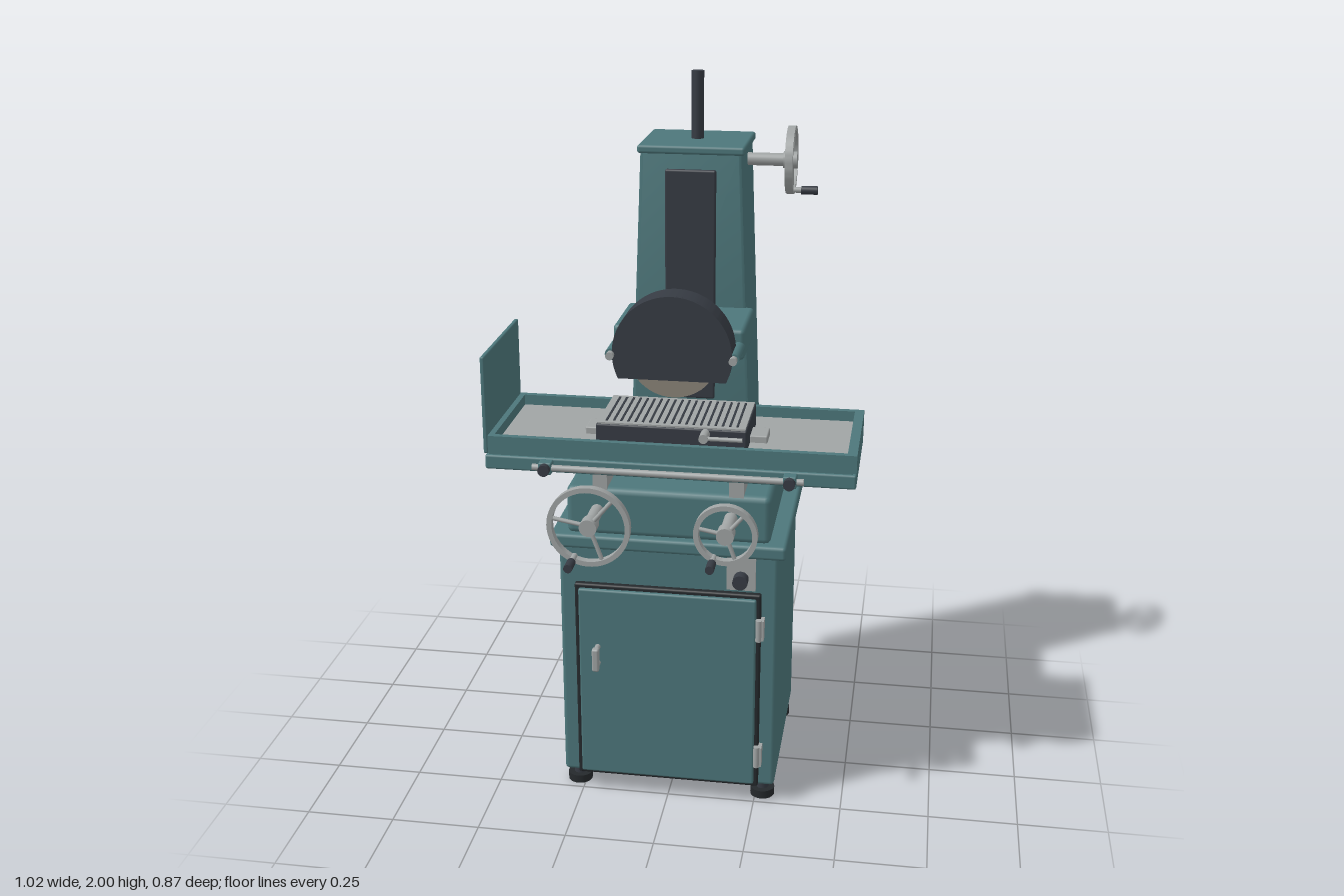
import * as THREE from 'three';
import { toCreasedNormals } from 'three/addons/utils/BufferGeometryUtils.js';
import { RoundedBoxGeometry } from 'three/addons/geometries/RoundedBoxGeometry.js';

const mat = (name, color) => {
  const m = new THREE.MeshStandardMaterial({ color });
  m.name = name;
  return m;
};

export function createModel() {
  const teal = mat('teal paint', 0x4d777b);
  const steel = mat('steel', 0xa0a4a4);
  const dark = mat('dark grey', 0x363b43);
  const black = mat('black rubber', 0x25292c);
  const stone = mat('abrasive', 0x8a8378);

  const model = new THREE.Group();
  model.name = 'surfaceGrinder';

  const add = (name, geo, material, parent = model) => {
    const m = new THREE.Mesh(geo, material);
    m.name = name;
    parent.add(m);
    return m;
  };
  // Box given by its limits on each axis, with optional rounded edges
  const box = (name, material, [x0, x1], [y0, y1], [z0, z1], r = 0) => {
    const s = [x1 - x0, y1 - y0, z1 - z0];
    const geo = r ? new RoundedBoxGeometry(...s, 2, r) : new THREE.BoxGeometry(...s);
    const m = add(name, geo, material);
    m.position.set((x0 + x1) / 2, (y0 + y1) / 2, (z0 + z1) / 2);
    return m;
  };
  // Cylinder between two points
  const rod = (name, material, a, b, r, parent = model, sides = 24) => {
    const p = new THREE.Vector3(...a), q = new THREE.Vector3(...b);
    const m = add(name, new THREE.CylinderGeometry(r, r, p.distanceTo(q), sides), material, parent);
    m.position.copy(p).add(q).multiplyScalar(0.5);
    m.quaternion.setFromUnitVectors(new THREE.Vector3(0, 1, 0), q.sub(p).normalize());
    return m;
  };
  const extrude = (shape, depth, options = {}) => toCreasedNormals(
    new THREE.ExtrudeGeometry(shape, { depth, bevelEnabled: false, curveSegments: 40, ...options }), 0.5);

  // Cabinet with lid and feet
  box('cabinet', teal, [-0.307, 0.307], [0.05, 0.78], [-0.31, 0.24], 0.012);
  box('cabinetLid', teal, [-0.328, 0.328], [0.77, 0.81], [-0.333, 0.262], 0.01);
  for (const x of [-0.27, 0.27]) for (const z of [-0.27, 0.197]) {
    rod('foot', black, [x, 0, z], [x, 0.024, z], 0.035);
    rod('footStem', dark, [x, 0.024, z], [x, 0.055, z], 0.018);
  }

  // Door, hinges, handle
  box('doorSeal', black, [-0.262, 0.262], [0.055, 0.662], [0.235, 0.257], 0.006);
  box('door', teal, [-0.25, 0.25], [0.067, 0.65], [0.24, 0.268], 0.006);
  for (const y of [0.16, 0.56]) {
    box('hinge', steel, [0.25, 0.272], [y - 0.03, y + 0.03], [0.24, 0.272]);
    rod('hingePin', steel, [0.258, y - 0.032, 0.268], [0.258, y + 0.032, 0.268], 0.009);
  }
  box('doorHandle', steel, [-0.206, -0.186], [0.415, 0.485], [0.288, 0.31], 0.006);
  for (const y of [0.425, 0.475]) rod('handlePost', steel, [-0.196, y, 0.265], [-0.196, y, 0.295], 0.008);

  // Control panel
  box('switchPlate', steel, [0.165, 0.245], [0.67, 0.767], [0.238, 0.248]);
  rod('switchKnob', dark, [0.205, 0.706, 0.245], [0.205, 0.706, 0.28], 0.021);

  // Saddle and slideways
  box('saddle', teal, [-0.283, 0.283], [0.805, 0.945], [-0.225, 0.24], 0.018);
  for (const s of [-1, 1])
    box('slideway', steel, [s * 0.188 - 0.02, s * 0.188 + 0.02], [0.94, 0.99], [-0.185, 0.238]);

  // Table: base, tray rim and steel bed
  box('tableBase', teal, [-0.508, 0.508], [0.983, 1.024], [-0.133, 0.24], 0.006);
  box('tableCore', teal, [-0.498, 0.498], [1.02, 1.04], [-0.125, 0.232]);
  const rim = new THREE.Shape();
  rim.moveTo(-0.508, -0.24).lineTo(0.508, -0.24).lineTo(0.508, 0.133).lineTo(-0.508, 0.133).closePath();
  const inner = new THREE.Path();
  inner.moveTo(-0.482, -0.222).lineTo(-0.482, 0.115).lineTo(0.482, 0.115).lineTo(0.482, -0.222).closePath();
  rim.holes.push(inner);
  const rimMesh = add('trayRim', extrude(rim, 0.05), teal);
  rimMesh.rotation.x = -Math.PI / 2;
  rimMesh.position.y = 1.03;
  box('tableBed', steel, [-0.482, 0.482], [1.035, 1.05], [-0.115, 0.222]);
  box('splashGuard', teal, [-0.51, -0.498], [1.03, 1.305], [-0.133, 0.243], 0.004);

  // Stop rail with adjustable dogs
  rod('stopRail', steel, [-0.37, 1.005, 0.26], [0.37, 1.005, 0.26], 0.009);
  for (const x of [-0.333, 0.333]) {
    box('stopDog', teal, [x - 0.018, x + 0.018], [0.988, 1.022], [0.238, 0.272], 0.004);
    rod('dogKnob', dark, [x, 1.005, 0.27], [x, 1.005, 0.289], 0.016);
  }

  // Magnetic chuck
  box('chuck', dark, [-0.207, 0.207], [1.045, 1.112], [-0.05, 0.187], 0.004);
  box('chuckFace', steel, [-0.203, 0.203], [1.11, 1.117], [-0.046, 0.183]);
  for (let i = -9; i <= 9; i++)
    box('chuckPole', dark, [i * 0.02 - 0.003, i * 0.02 + 0.003], [1.115, 1.119], [-0.03, 0.167]);
  for (const s of [-1, 1])
    box('chuckClamp', steel, [s * 0.23 - 0.025, s * 0.23 + 0.025], [1.045, 1.07], [0.027, 0.1], 0.004);
  rod('leverBoss', steel, [0.095, 1.1, 0.18], [0.095, 1.1, 0.23], 0.013);
  rod('chuckLever', steel, [0.09, 1.1, 0.223], [0.2, 1.1, 0.223], 0.006);

  // Tapered column with cap and lift screw
  const side = new THREE.Shape();
  side.moveTo(-0.183, 0.79).lineTo(0.183, 0.79).lineTo(0.143, 1.8).lineTo(-0.143, 1.8).closePath();
  const b = 0.01;
  const column = add('column', extrude(side, 0.257 - 2 * b, {
    bevelEnabled: true, bevelSize: b, bevelThickness: b, bevelOffset: -b, bevelSegments: 2,
  }), teal);
  column.position.z = -0.427 + b;
  box('columnCap', teal, [-0.151, 0.151], [1.788, 1.812], [-0.435, -0.163], 0.008);
  rod('liftScrew', dark, [0, 1.8, -0.3], [0, 2, -0.3], 0.018);
  box('wayCover', dark, [-0.072, 0.072], [1.08, 1.747], [-0.175, -0.16], 0.006);

  // Spindle head, side arms and spindle
  box('spindleHead', teal, [-0.182, 0.182], [1.268, 1.355], [-0.187, 0.052], 0.012);
  for (const x of [-0.167, 0.167]) {
    rod('guardArm', teal, [x, 1.306, 0.04], [x, 1.306, 0.165], 0.016);
    rod('armTip', steel, [x, 1.306, 0.165], [x, 1.306, 0.185], 0.011);
  }
  rod('spindle', steel, [0, 1.31, 0.04], [0, 1.31, 0.155], 0.03);
  rod('grindingWheel', stone, [0, 1.31, 0.095], [0, 1.31, 0.142], 0.126, model, 48);

  // Wheel guard: front plate cut flat below, and an arched hood
  const cut = Math.asin(0.07 / 0.163);
  const plate = new THREE.Shape();
  plate.absarc(0, 0, 0.163, -cut, Math.PI + cut, false);
  plate.closePath();
  add('guardPlate', extrude(plate, 0.015), dark).position.set(0, 1.31, 0.153);
  const arch = new THREE.Shape();
  arch.absarc(0, 0, 0.163, 0, Math.PI, false);
  arch.absarc(0, 0, 0.148, Math.PI, 0, true);
  arch.closePath();
  add('guardHood', extrude(arch, 0.073), dark).position.set(0, 1.31, 0.083);

  // Handwheel facing local +z, with three spokes and a crank grip
  const handwheel = (name, r, shaft, position, turn = 0) => {
    const g = new THREE.Group();
    g.name = name;
    const ring = new THREE.Shape().absarc(0, 0, r, 0, Math.PI * 2, false);
    ring.holes.push(new THREE.Path().absarc(0, 0, r - 0.014, 0, Math.PI * 2, true));
    add('wheelRim', extrude(ring, 0.022), steel, g).position.z = -0.011;
    rod('wheelShaft', steel, [0, 0, -shaft], [0, 0, 0], 0.018, g);
    rod('wheelHub', steel, [0, 0, -0.022], [0, 0, 0.017], 0.024, g);
    for (let i = 0; i < 3; i++) {
      const a = 0.87 + i * Math.PI * 2 / 3;
      rod('spoke', steel, [0, 0, 0], [Math.cos(a) * (r - 0.007), Math.sin(a) * (r - 0.007), 0], 0.006, g, 12);
    }
    const hx = Math.cos(-2) * r * 0.9, hy = Math.sin(-2) * r * 0.9;
    rod('gripPin', steel, [hx, hy, -0.01], [hx, hy, 0.04], 0.008, g);
    rod('grip', dark, [hx, hy, 0.033], [hx, hy, 0.079], 0.012, g);
    g.position.set(...position);
    g.rotation.y = turn;
    model.add(g);
  };
  handwheel('tableHandwheel', 0.114, 0.12, [-0.196, 0.88, 0.352]);
  handwheel('crossFeedHandwheel', 0.086, 0.12, [0.174, 0.88, 0.352]);
  handwheel('liftHandwheel', 0.095, 0.13, [0.268, 1.757, -0.301], Math.PI / 2);

  return model;
}
